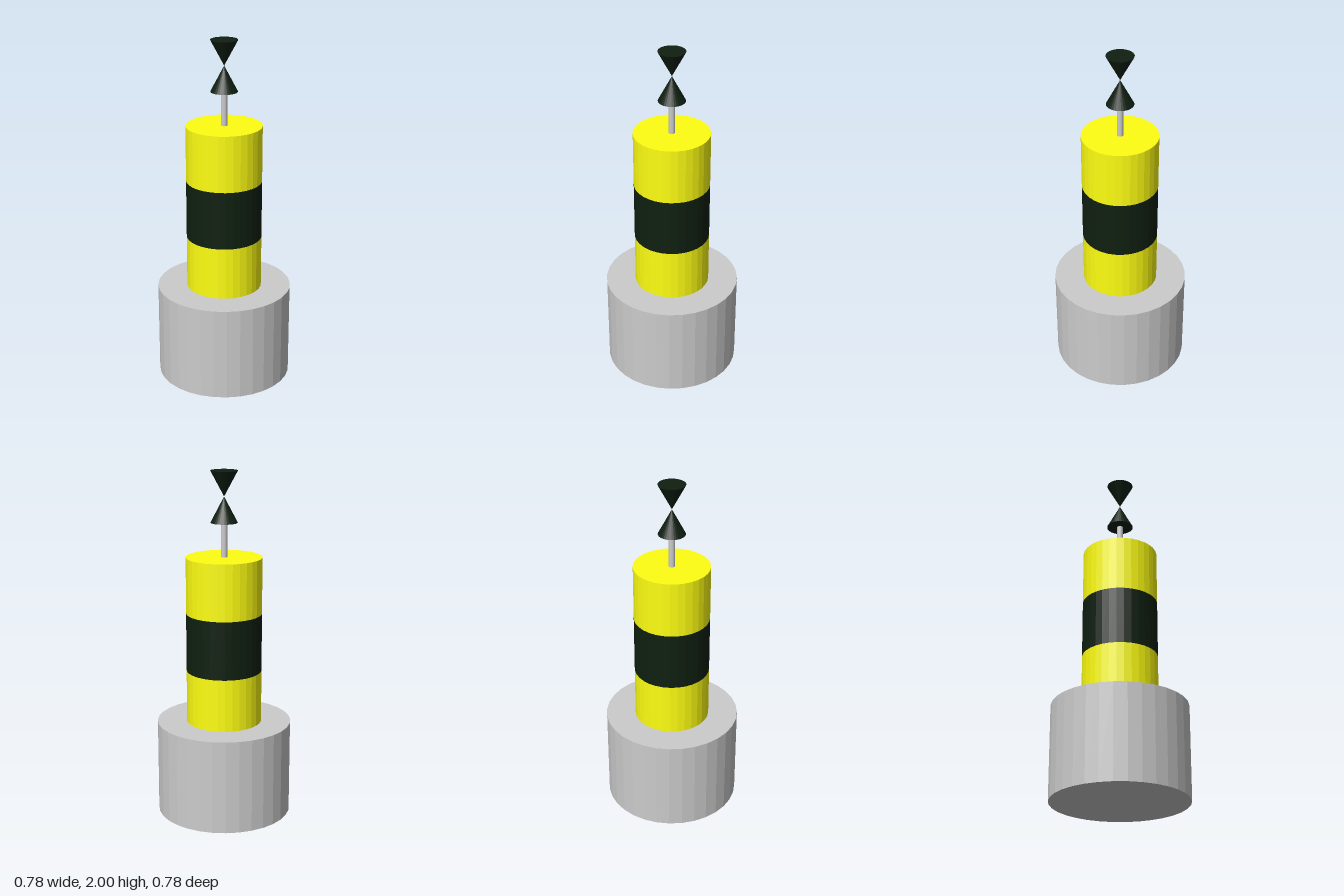
import * as THREE from 'three';

const SIDES = 32;

export function createModel() {
  const group = new THREE.Group();
  group.name = 'beaconBuoy';

  const material = (color) => new THREE.MeshStandardMaterial({ color, flatShading: true });
  const grey = material(0xcccccc);
  const yellow = material(0xffff12);
  const black = material(0x0f1f10);

  // Upright round part between two heights
  function addRound(name, mat, bottom, top, bottomRadius, topRadius = bottomRadius, sides = SIDES) {
    const geometry = new THREE.CylinderGeometry(topRadius, bottomRadius, top - bottom, sides);
    const mesh = new THREE.Mesh(geometry, mat);
    mesh.name = name;
    mesh.position.y = (bottom + top) / 2;
    group.add(mesh);
  }

  // Float
  addRound('floatBase', grey, 0, 0.547, 0.388);

  // Banded column
  addRound('lowerBand', yellow, 0.547, 0.852, 0.217);
  addRound('middleBand', black, 0.852, 1.19, 0.217);
  addRound('upperBand', yellow, 1.19, 1.515, 0.217);

  // Mast carrying the topmark
  addRound('mast', grey, 1.515, 1.72, 0.018);

  // Topmark: two cones meeting point to point
  addRound('lowerCone', black, 1.71, 1.856, 0.077, 0);
  addRound('upperCone', black, 1.856, 2, 0, 0.077);

  return group;
}
